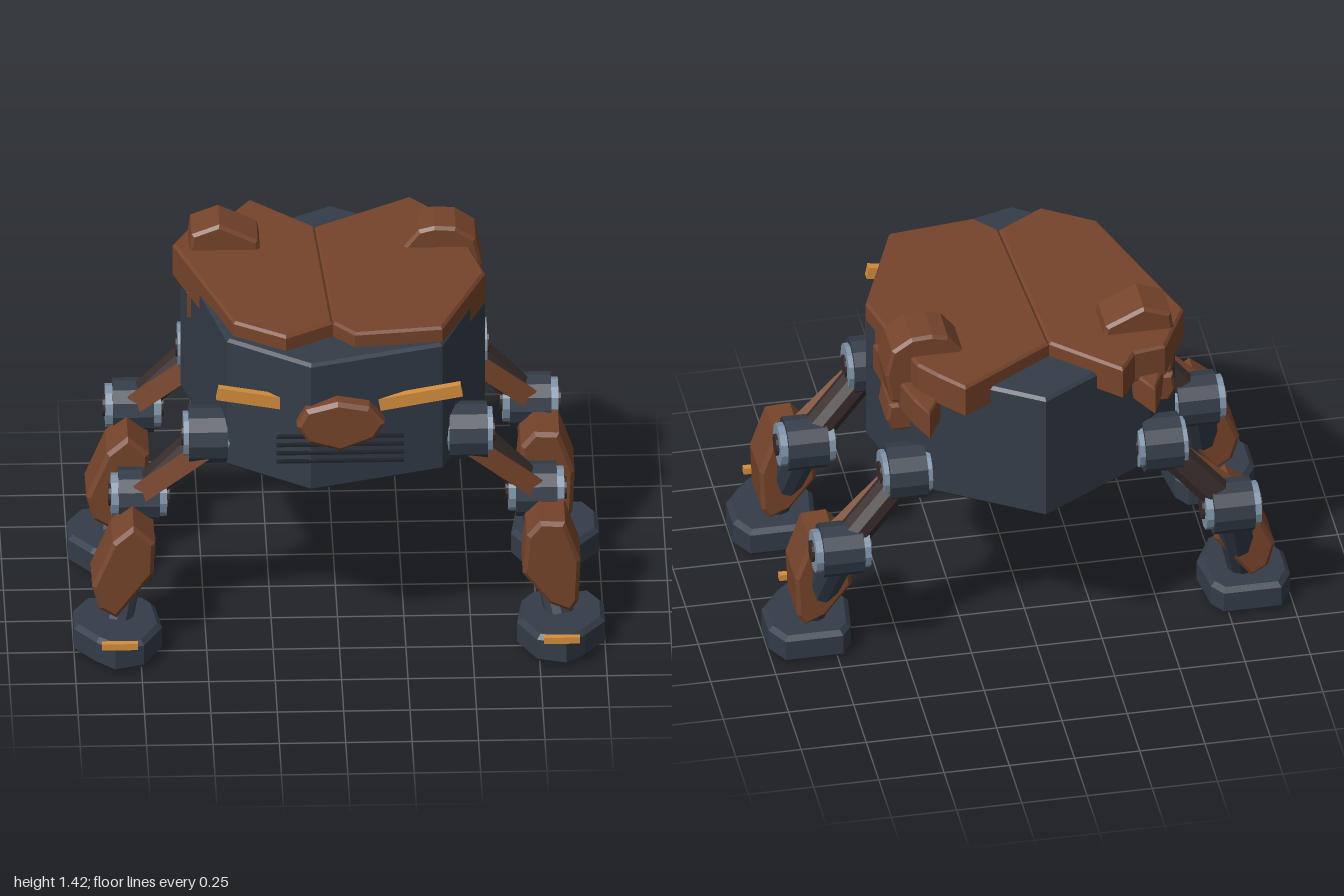
import * as THREE from 'three';

const mat = (name, color) => {
  const m = new THREE.MeshStandardMaterial({ color, flatShading: true });
  m.name = name;
  return m;
};

export function createModel() {
  const slate = mat('slate hull', 0x333c48);
  const rust = mat('rust armour', 0x76442b);
  const amber = mat('amber light', 0xd48d3d);
  const steel = mat('steel ring', 0x7d91a7);
  const umber = mat('dark umber joint', 0x362b2a);
  const black = mat('dark vent', 0x1d232a);

  const root = new THREE.Group();
  root.name = 'quadrupedWalker';

  const add = (parent, name, geo, material, x = 0, y = 0, z = 0) => {
    const m = new THREE.Mesh(geo, material);
    m.name = name;
    m.position.set(x, y, z);
    parent.add(m);
    return m;
  };
  const extrude = (pts, depth, bevel) => new THREE.ExtrudeGeometry(
    new THREE.Shape(pts.map(p => new THREE.Vector2(p[0], p[1]))),
    { depth: depth - 2 * bevel, bevelEnabled: true, bevelSize: bevel, bevelThickness: bevel,
      bevelOffset: -bevel, bevelSegments: 1 }).translate(0, 0, bevel);
  // Plan outline [x, z] raised from y0 to y1
  const slab = (pts, y0, y1, bevel) =>
    extrude(pts.map(([x, z]) => [x, -z]), y1 - y0, bevel).rotateX(-Math.PI / 2).translate(0, y0, 0);
  // Front outline [x, y] pushed from z0 to z1
  const block = (pts, z0, z1, bevel) => extrude(pts, z1 - z0, bevel).translate(0, 0, z0);
  const flip = (pts, s) => pts.map(([x, y]) => [x * s, y]);
  // Lay a y-aligned part between two points
  const between = (parent, name, a, b, makeGeo, material) => {
    const A = new THREE.Vector3(...a), B = new THREE.Vector3(...b);
    const d = B.clone().sub(A);
    const m = add(parent, name, makeGeo(d.length()), material);
    m.position.copy(A).add(B).multiplyScalar(0.5);
    m.quaternion.setFromUnitVectors(new THREE.Vector3(0, 1, 0), d.normalize());
  };

  // Hull
  add(root, 'hull', slab([[-0.11, 0.59], [0.39, 0.435], [0.565, -0.03], [0.46, -0.4], [0, -0.685],
    [-0.45, -0.41], [-0.575, -0.26], [-0.42, 0.375]], 0.72, 1.26, 0.012), slate);

  // Armoured top wings meeting at the middle seam
  add(root, 'leftTopArmour', slab([[-0.02, 0.363], [0.06, 0.455], [0.39, 0.417], [0.565, -0.02],
    [0.515, -0.22], [0.45, -0.45], [0.39, -0.53], [0.3, -0.635], [-0.065, -0.405]], 1.18, 1.32, 0.01), rust);
  add(root, 'rightTopArmour', slab([[-0.02, 0.363], [-0.2, 0.475], [-0.395, 0.35], [-0.605, -0.28],
    [-0.49, -0.51], [-0.37, -0.53], [-0.305, -0.63], [-0.065, -0.405]], 1.18, 1.321, 0.01), rust);

  // Rear flank plates, shoulder caps and lower clamps
  for (const s of [1, -1]) {
    const side = s > 0 ? 'left' : 'right';
    add(root, side + 'FlankPlate', slab(flip([[0.555, -0.12], [0.535, -0.28], [0.475, -0.51],
      [0.432, -0.615], [0.37, -0.5], [0.4, -0.12]], s), 1.08, 1.205, 0.01), rust);
    add(root, side + 'Clamp', block(flip([[0.4, 0.98], [0.53, 0.98], [0.555, 1.03], [0.545, 1.1],
      [0.4, 1.1]], s), -0.39, -0.22, 0.012), rust);
  }
  add(root, 'leftShoulderCap', block([[0.24, 1.29], [0.32, 1.39], [0.38, 1.405], [0.46, 1.4], [0.535, 1.35],
    [0.56, 1.24], [0.54, 1.12], [0.46, 1.1]], -0.4, -0.22, 0.012), rust);
  add(root, 'rightShoulderCap', block([[-0.27, 1.29], [-0.285, 1.355], [-0.43, 1.425], [-0.535, 1.385],
    [-0.555, 1.24], [-0.54, 1.12], [-0.46, 1.1]], -0.4, -0.22, 0.012), rust);

  // Face: snout plate, vent bars and slanted eye bars
  add(root, 'snoutPlate', block([[-0.165, 1.01], [-0.13, 1.08], [-0.01, 1.112], [0.11, 1.09], [0.168, 1.02],
    [0.13, 0.955], [0.0, 0.905], [-0.12, 0.94]], 0.545, 0.625, 0.015), rust);
  for (let i = 0; i < 4; i++)
    add(root, 'ventBar', new THREE.BoxGeometry(0.48, 0.008, 0.02), black, 0, 0.955 - i * 0.035, 0.59);
  for (const s of [1, -1])
    add(root, 'eyeBar', new THREE.BoxGeometry(0.315, 0.05, 0.032), amber, 0.305 * s, 1.07, 0.495)
      .rotation.z = 0.18 * s;

  // Joint with drum, steel ring and pin along x
  const joint = (parent, name, x, y, z, r, drum, ring, pin) => {
    const g = new THREE.Group();
    g.name = name;
    g.position.set(x, y, z);
    parent.add(g);
    const cyl = (n, rad, len, m) => add(g, n, new THREE.CylinderGeometry(rad, rad, len, 12).rotateZ(Math.PI / 2), m);
    cyl('drum', r, drum, slate);
    cyl('ring', r * 0.8, ring, steel);
    cyl('pin', r * 0.4, pin, umber);
  };

  const shins = {
    '1': [[0.755, 0.53], [0.85, 0.525], [0.908, 0.36], [0.9, 0.19], [0.87, 0.145], [0.79, 0.18], [0.69, 0.31], [0.705, 0.47]],
    '-1': [[0.775, 0.535], [0.695, 0.46], [0.7, 0.33], [0.84, 0.145], [0.905, 0.185], [0.932, 0.28], [0.855, 0.465]],
  };
  const foot = [[0.73, 0.272], [0.95, 0.272], [1.0, 0.36], [1.0, 0.5], [0.92, 0.61], [0.85, 0.675], [0.74, 0.64],
    [0.668, 0.5], [0.69, 0.33]];

  // Four legs
  for (const s of [1, -1]) for (const dz of [0, -0.71]) {
    const leg = new THREE.Group();
    leg.name = (dz ? 'rear' : 'front') + (s > 0 ? 'Left' : 'Right') + 'Leg';
    leg.position.z = dz;
    root.add(leg);

    joint(leg, 'hip', 0.49 * s, 0.815, 0.295, 0.11, 0.145, 0.185, 0.2);
    joint(leg, 'knee', 0.748 * s, 0.53, 0.237, 0.104, 0.155, 0.21, 0.23);
    between(leg, 'upperArm', [0.49 * s, 0.815, 0.285], [0.745 * s, 0.53, 0.238],
      l => new THREE.CylinderGeometry(0.062, 0.062, l, 10), umber);
    between(leg, 'upperArmPlate', [0.5 * s, 0.775, 0.345], [0.74 * s, 0.57, 0.295],
      l => new THREE.BoxGeometry(0.075, l, 0.06), rust);
    between(leg, 'lowerLeg', [0.75 * s, 0.52, 0.24], [0.83 * s, 0.1, 0.43],
      l => new THREE.CylinderGeometry(0.055, 0.075, l, 10), slate);
    add(leg, 'shinArmour', block(flip(shins[s], s), 0.297, 0.513, 0.015), rust);
    add(leg, 'foot', slab(flip(foot, s), 0, 0.117, 0.018), slate);
    add(leg, 'toeLight', new THREE.BoxGeometry(0.135, 0.026, 0.026), amber, 0.832 * s, 0.118, 0.674);
  }
  return root;
}
